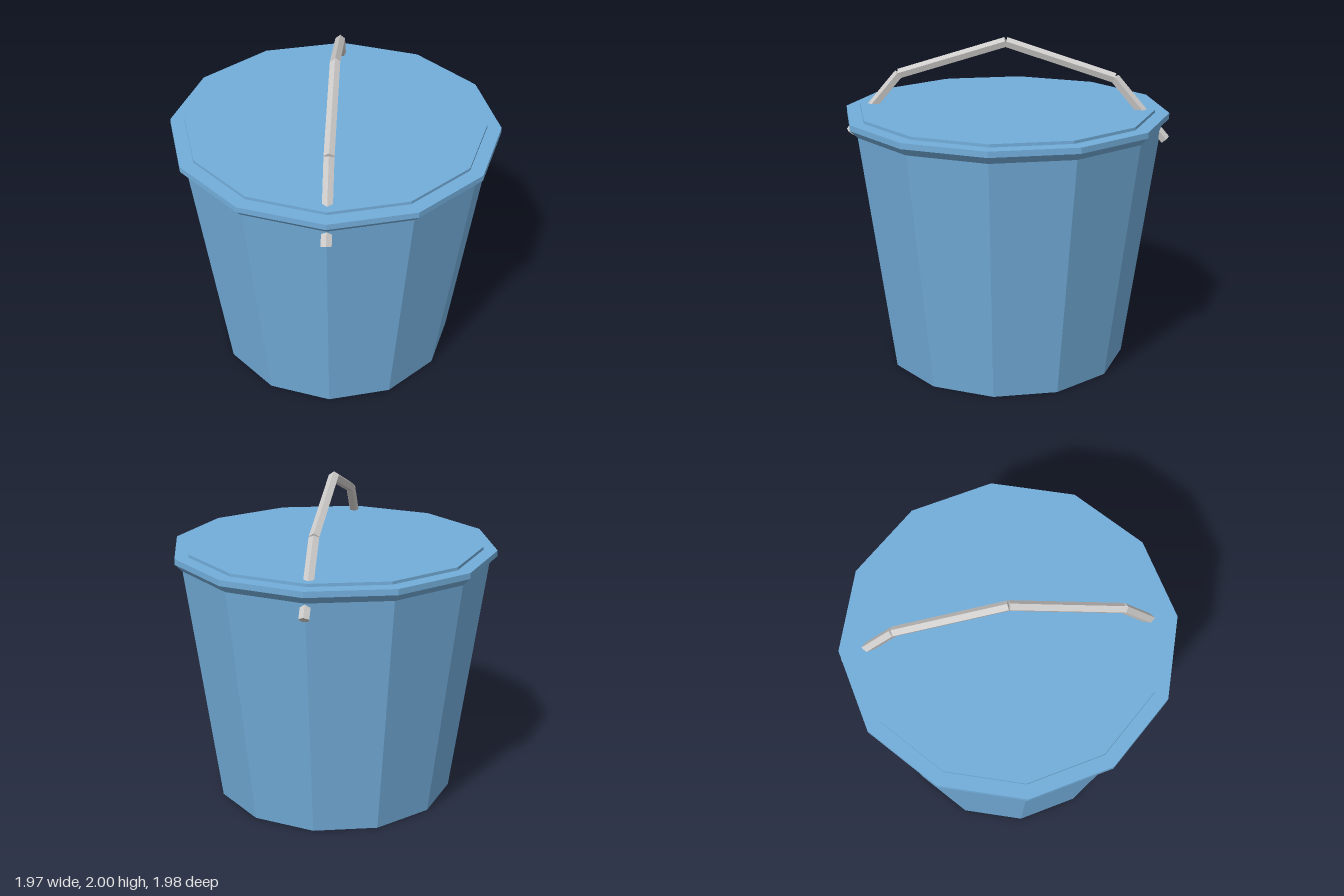
import * as THREE from 'three';

const SIDES = 12;

export function createModel() {
  const model = new THREE.Group();
  model.name = 'lidded bucket';

  const blue = new THREE.MeshStandardMaterial({ color: 0x73aedb, flatShading: true });
  blue.name = 'blue plastic';
  const grey = new THREE.MeshStandardMaterial({ color: 0xcfcdcb, flatShading: true });
  grey.name = 'grey metal';

  // Profile runs from the middle of the base, up the wall and over the rim
  // to the raised centre panel of the lid.
  const revolve = (name, profile) => {
    const points = profile.map(([r, y]) => new THREE.Vector2(r, y));
    const mesh = new THREE.Mesh(new THREE.LatheGeometry(points, SIDES), blue);
    mesh.name = name;
    model.add(mesh);
  };
  revolve('bucketBody', [[0, 0], [0.74, 0], [0.94, 1.48]]);
  revolve('lid', [
    [0.94, 1.48], [0.985, 1.525], [0.985, 1.56],
    [0.9, 1.56], [0.9, 1.578], [0, 1.578],
  ]);

  // Handle: straight five-sided bars with a ridge facing outwards
  const handle = new THREE.Group();
  handle.name = 'handle';
  model.add(handle);
  const path = [
    [1.395, 0.965], [1.765, 0.652], [1.97, 0], [1.765, -0.652], [1.395, -0.965],
  ].map(([y, z]) => new THREE.Vector3(0, y, z));
  const across = new THREE.Vector3(1, 0, 0);

  for (let i = 0; i < path.length - 1; i++) {
    const along = path[i + 1].clone().sub(path[i]);
    const length = along.length();
    along.normalize();
    const outward = across.clone().cross(along);
    const bar = new THREE.Mesh(new THREE.CylinderGeometry(0.0315, 0.0315, length, 5), grey);
    bar.name = `handleBar${i + 1}`;
    bar.quaternion.setFromRotationMatrix(new THREE.Matrix4().makeBasis(across, along, outward));
    bar.position.copy(path[i]).lerp(path[i + 1], 0.5);
    handle.add(bar);
  }

  return model;
}
